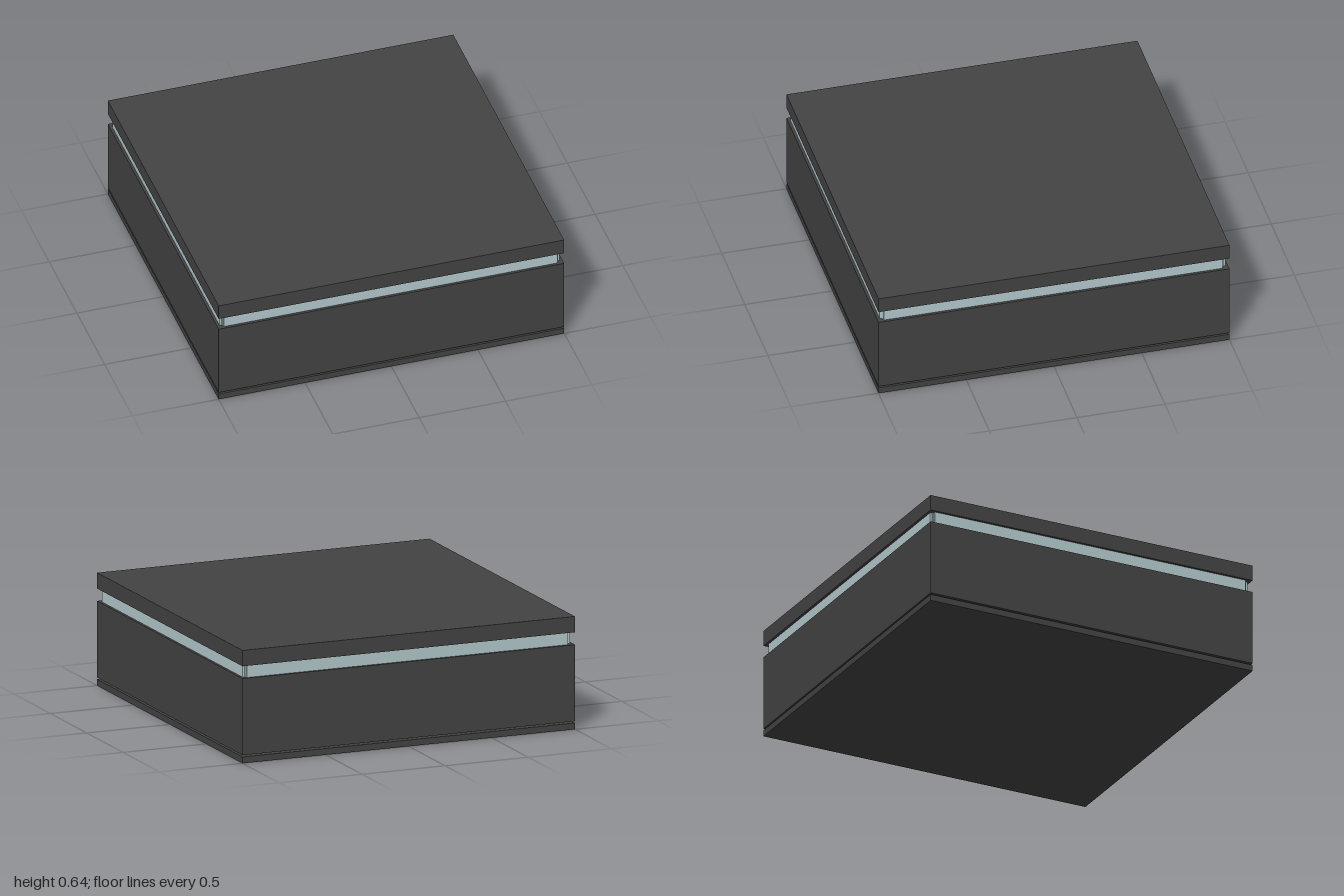
import * as THREE from 'three';

const material = (name, color) => {
  const m = new THREE.MeshStandardMaterial({ color });
  m.name = name;
  return m;
};

export function createModel() {
  const model = new THREE.Group();
  const charcoal = material('charcoal', 0x434343);
  const umber = material('dark umber', 0x3c372e);
  const paleGlass = material('pale blue glass', 0xb4cace);

  // Square slab spanning bottom to top, with the given half width
  const slab = (name, half, bottom, top, mat) => {
    const mesh = new THREE.Mesh(new THREE.BoxGeometry(half * 2, top - bottom, half * 2), mat);
    mesh.position.y = (bottom + top) / 2;
    mesh.name = name;
    model.add(mesh);
  };

  // Stacked storeys, with recessed joints between them
  slab('basePlate', 1, 0, 0.036, charcoal);
  slab('baseJoint', 0.96, 0.036, 0.046, umber);
  slab('body', 1, 0.046, 0.48, charcoal);
  slab('glassCore', 0.972, 0.48, 0.55, paleGlass);
  slab('lid', 1, 0.55, 0.625, charcoal);
  slab('roofPlate', 1, 0.625, 0.64, charcoal);

  // One window strip on each side, leaving the corners notched
  for (let i = 0; i < 4; i++) {
    const side = new THREE.Group();
    side.name = 'windowSide' + (i + 1);
    side.rotation.y = (i * Math.PI) / 2;
    const pane = new THREE.Mesh(new THREE.BoxGeometry(1.93, 0.07, 0.013), paleGlass);
    pane.name = 'windowStrip';
    pane.position.set(0, 0.515, 0.9785);
    side.add(pane);
    model.add(side);
  }
  return model;
}
